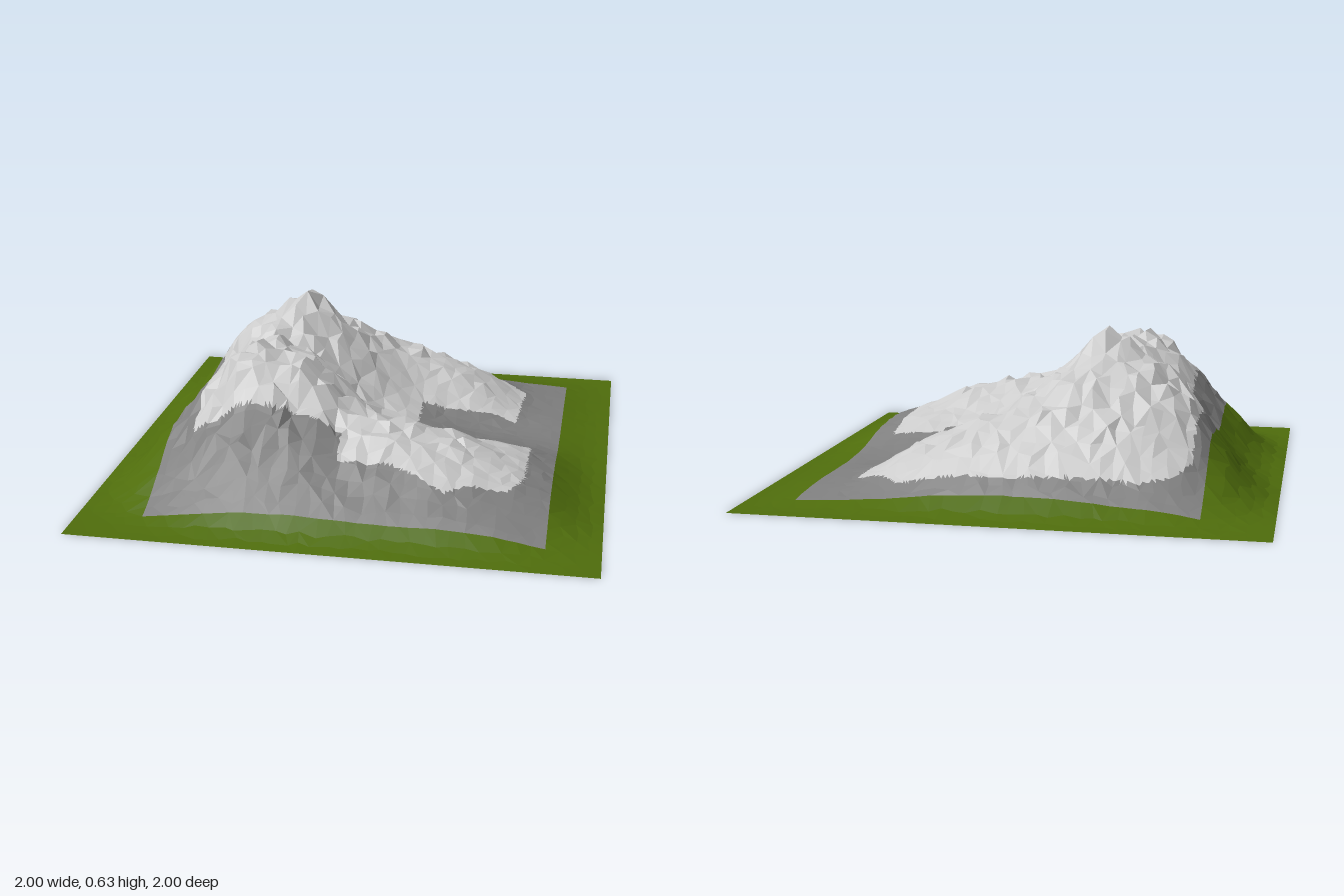
import * as THREE from 'three';

// Broad height map: rows run back to front, columns left to right, 0.2 apart; zero on the rim
const HEIGHTS = [
  [.02, .06, .08, .10, .10, .09, .06, .035, .02],
  [.09, .22, .29, .30, .28, .24, .17, .065, .03],
  [.165, .38, .47, .45, .36, .26, .18, .065, .03],
  [.14, .41, .54, .52, .30, .14, .07, .04, .03],
  [.11, .34, .46, .39, .20, .13, .09, .07, .045],
  [.125, .38, .53, .48, .30, .21, .17, .14, .08],
  [.16, .36, .52, .47, .34, .30, .26, .17, .095],
  [.09, .21, .31, .31, .24, .25, .21, .15, .085],
  [.02, .06, .10, .11, .10, .09, .09, .07, .025],
];

// Outline of the pale summit rock as x, z pairs
const SUMMIT = [
  [-.61, .54], [-.02, .53], [-.02, .64], [.2, .64], [.4, .71], [.48, .66], [.64, .62], [.69, .5],
  [.69, .09], [.46, .08], [.46, .11], [.25, .11], [.2, .03], [.2, -.21], [.3, -.23], [.52, -.29],
  [.6, -.27], [.62, -.61], [.5, -.68], [.42, -.75], [0, -.77], [-.5, -.74], [-.62, -.69],
  [-.68, -.6], [-.68, -.4], [-.69, -.2], [-.62, -.02],
];

// Rectangle of bare rock
const ROCK = { x0: -.735, x1: .795, z0: -.83, z1: .84 };

function seeded(seed) {
  return () => {
    seed = (seed * 1664525 + 1013904223) >>> 0;
    return seed / 4294967296;
  };
}

function spline(a, b, c, d, t) {
  return b + .5 * t * (c - a + t * (2 * a - 5 * b + 4 * c - d + t * (3 * (b - c) + d - a)));
}

// Smooth height of the mountain, with a sharper main peak and a foot that levels out
function height(x, z) {
  const u = (x + 1) * 5, v = (z + 1) * 5;
  const i = Math.min(9, Math.floor(u)), j = Math.min(9, Math.floor(v));
  const at = (r, c) => HEIGHTS[r - 1]?.[c - 1] ?? 0;
  const rows = [-1, 0, 1, 2].map((k) =>
    spline(at(j + k, i - 1), at(j + k, i), at(j + k, i + 1), at(j + k, i + 2), u - i));
  const peak = .085 * Math.exp(-((x + .32) ** 2 + (z + .22) ** 2) / .005);
  const rim = 1 - Math.max(Math.abs(x), Math.abs(z));
  const foot = Math.min(1, .4 + rim * 3);
  return Math.max(0, foot * spline(...rows, v - j) + peak);
}

function inside(x, z, outline) {
  let hit = false;
  outline.forEach(([ax, az], i) => {
    const [bx, bz] = outline[(i + 1) % outline.length];
    if ((az > z) !== (bz > z) && x < ax + (bx - ax) * (z - az) / (bz - az)) hit = !hit;
  });
  return hit;
}

// Irregular coarse facets, with grid lines snapped to the rock rectangle
function coarseGrid(n) {
  const random = seeded(7);
  const line = (i, lo, hi) => {
    const p = -1 + 2 * i / n;
    for (const edge of [lo, hi]) if (Math.abs(p - edge) < 1 / n - .001) return [edge, true];
    return [p, i === 0 || i === n];
  };
  const grid = [];
  for (let j = 0; j <= n; j++) {
    const row = [];
    for (let i = 0; i <= n; i++) {
      let [x, fixedX] = line(i, ROCK.x0, ROCK.x1);
      let [z, fixedZ] = line(j, ROCK.z0, ROCK.z1);
      const [a, b, c] = [random() - .5, random() - .5, random() - .5];
      if (!fixedX) x += a * 1.1 / n;
      if (!fixedZ) z += b * 1.1 / n;
      const h = height(x, z);
      row.push(new THREE.Vector3(x, h + c * Math.min(.06, h * h * .3 + h * .04), z));
    }
    grid.push(row);
  }
  return grid;
}

export function createModel() {
  const group = new THREE.Group();
  group.name = 'mountain';
  const n = 40, split = 4;
  const grid = coarseGrid(n);
  const parts = { grassSlope: [], rockSlope: [], summitRock: [] };

  // Sort each small triangle into its ground cover
  function addTriangle(a, b, c) {
    const x = (a.x + b.x + c.x) / 3, z = (a.z + b.z + c.z) / 3;
    const rock = x > ROCK.x0 && x < ROCK.x1 && z > ROCK.z0 && z < ROCK.z1;
    const name = !rock ? 'grassSlope' : inside(x, z, SUMMIT) ? 'summitRock' : 'rockSlope';
    for (const p of [a, b, c]) parts[name].push(p.x, p.y, p.z);
  }

  // Cut one flat facet into small triangles so the cover borders stay crisp
  function addFacet(a, b, c) {
    const point = (s, t) => a.clone()
      .addScaledVector(b.clone().sub(a), s / split)
      .addScaledVector(c.clone().sub(a), t / split);
    for (let s = 0; s < split; s++) {
      for (let t = 0; s + t < split; t++) {
        addTriangle(point(s, t), point(s + 1, t), point(s, t + 1));
        if (s + t < split - 1) addTriangle(point(s + 1, t), point(s + 1, t + 1), point(s, t + 1));
      }
    }
  }

  for (let j = 0; j < n; j++) {
    for (let i = 0; i < n; i++) {
      const a = grid[j][i], b = grid[j][i + 1], c = grid[j + 1][i], d = grid[j + 1][i + 1];
      if ((i * 7 + j * 3) % 5 < 2) {
        addFacet(a, c, d);
        addFacet(a, d, b);
      } else {
        addFacet(a, c, b);
        addFacet(b, c, d);
      }
    }
  }

  const colors = { grassSlope: 0x4f6d0c, rockSlope: 0x808080, summitRock: 0xcccccc };
  for (const [name, points] of Object.entries(parts)) {
    const geometry = new THREE.BufferGeometry();
    geometry.setAttribute('position', new THREE.Float32BufferAttribute(points, 3));
    geometry.computeVertexNormals();
    const mesh = new THREE.Mesh(geometry, new THREE.MeshStandardMaterial({
      color: colors[name], flatShading: true, side: THREE.DoubleSide,
    }));
    mesh.name = name;
    group.add(mesh);
  }
  return group;
}
